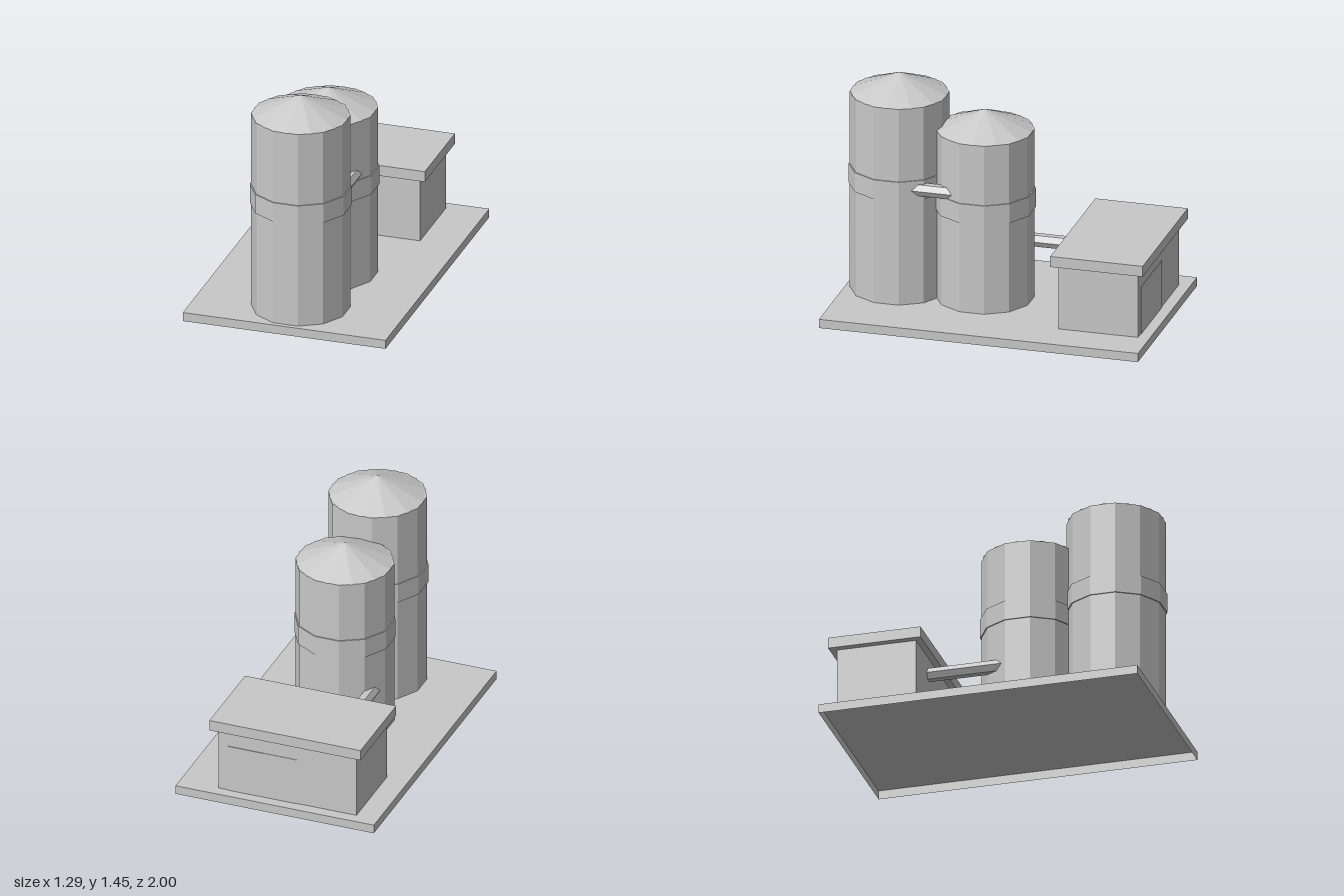
import * as THREE from 'three';

export function createModel() {
  const model = new THREE.Group();
  model.name = 'siloFacility';
  const grey = new THREE.MeshStandardMaterial({ color: 0xc8c8c8, flatShading: true, side: THREE.DoubleSide });
  grey.name = 'paleGrey';

  const add = (name, geometry, parent = model) => {
    const mesh = new THREE.Mesh(geometry, grey);
    mesh.name = name;
    parent.add(mesh);
    return mesh;
  };

  // Box given by its lower and upper corners
  const boxGeometry = (x0, y0, z0, x1, y1, z1) =>
    new THREE.BoxGeometry(x1 - x0, y1 - y0, z1 - z0)
      .translate((x0 + x1) / 2, (y0 + y1) / 2, (z0 + z1) / 2);

  const GROUND = 0.056;

  // Foundation slab: a hollow tray, open underneath
  const slab = boxGeometry(-0.643, 0, -1, 0.643, GROUND, 1);
  const index = Array.from(slab.index.array);
  index.splice(18, 6); // drop the bottom face
  slab.setIndex(index);
  add('foundation', slab);

  // Twelve-sided drum with flats facing the axes
  const drum = (radius, y0, y1) =>
    new THREE.CylinderGeometry(radius, radius, y1 - y0, 12)
      .rotateY(Math.PI / 12)
      .translate(0, (y0 + y1) / 2, 0);

  // Silos: wall, reinforcing band and conical roof
  const silo = (name, z, top, bandBottom) => {
    const group = new THREE.Group();
    group.name = name;
    group.position.z = z;
    add('siloWall', drum(0.3, GROUND, top), group);
    add('siloBand', drum(0.307, bandBottom, bandBottom + 0.125), group);
    add('siloRoof', new THREE.ConeGeometry(0.296, 0.125, 12).translate(0, top + 0.0625, 0), group);
    model.add(group);
  };
  silo('frontSilo', 0.68, 1.325, 0.73);
  silo('rearSilo', 0.145, 1.145, 0.635);

  // Building with overhanging flat roof and a thin door panel on its back
  add('buildingWalls', boxGeometry(-0.502, GROUND, -0.928, 0.392, 0.47, -0.43));
  add('buildingRoof', boxGeometry(-0.545, 0.47, -0.97, 0.435, 0.538, -0.39));
  add('backDoor', boxGeometry(-0.12, GROUND, -0.932, 0.33, 0.36, -0.926));

  // Six-sided pipes running along z, flat on top
  const pipe = (name, x, y, z0, z1) =>
    add(name, new THREE.CylinderGeometry(0.042, 0.042, z1 - z0, 6)
      .rotateY(Math.PI / 6)
      .rotateX(Math.PI / 2)
      .translate(x, y, (z0 + z1) / 2));
  pipe('siloPipe', 0.215, 0.792, 0.15, 0.67);
  pipe('buildingPipe', -0.23, 0.36, -0.5, 0.1);

  return model;
}
